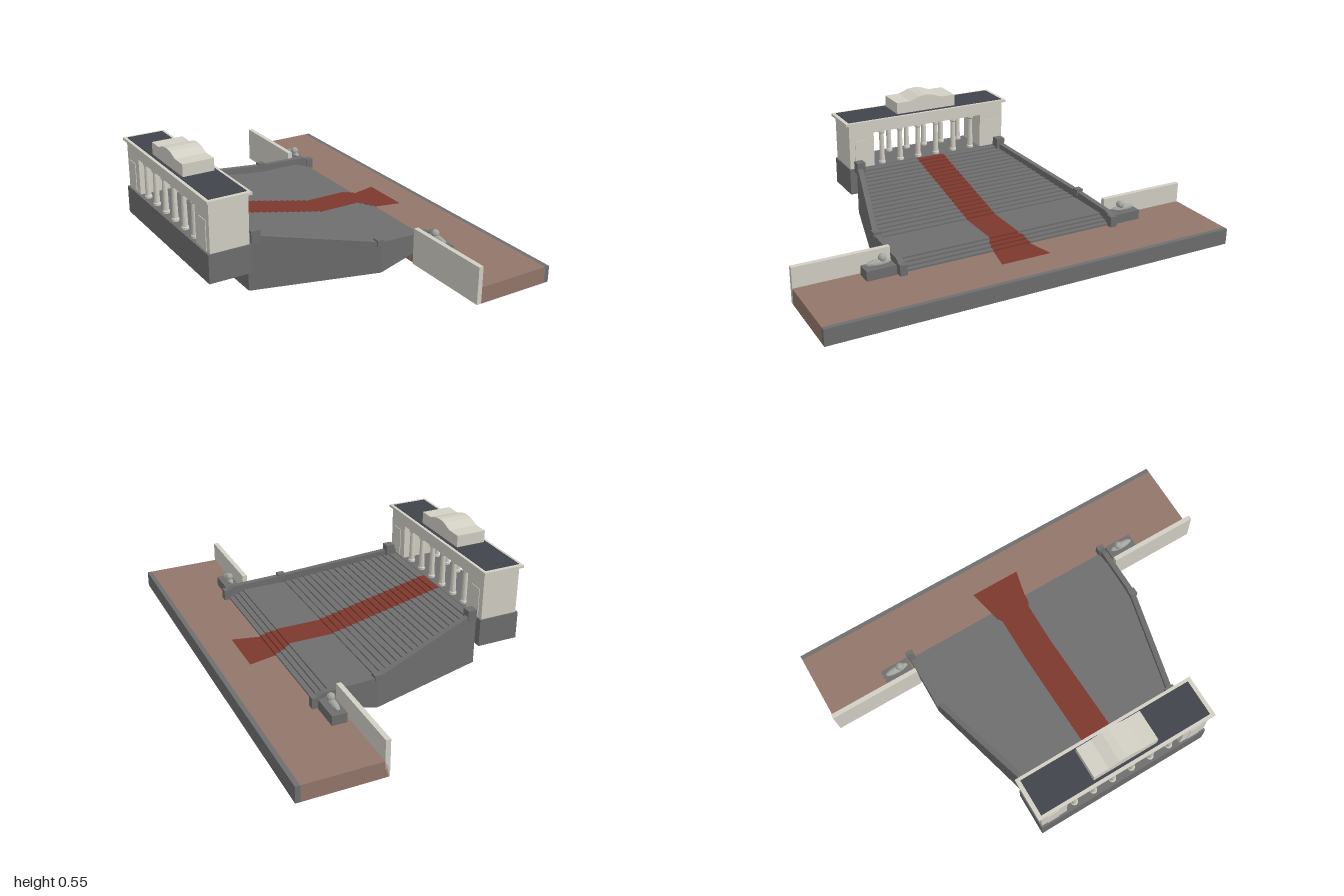
import * as THREE from 'three';

const mat = (color, side = THREE.FrontSide) => new THREE.MeshStandardMaterial({ color, side, flatShading: true });
const STONE = mat(0x6e6e6e), PALE = mat(0xd2cfc4), ROOF = mat(0x42444c), STATUE = mat(0xa2a69f);
const STEPS = mat(0x6e6e6e, THREE.DoubleSide), PAVING = mat(0x93766b, THREE.DoubleSide), CARPET = mat(0x7d382d, THREE.DoubleSide);

function add(parent, name, geometry, material, x = 0, y = 0, z = 0) {
  const mesh = new THREE.Mesh(geometry, material);
  mesh.name = name;
  mesh.position.set(x, y, z);
  parent.add(mesh);
  return mesh;
}

// Box given by its limits
function block(parent, name, material, [x0, x1], [y0, y1], [z0, z1]) {
  return add(parent, name, new THREE.BoxGeometry(x1 - x0, y1 - y0, z1 - z0), material,
    (x0 + x1) / 2, (y0 + y1) / 2, (z0 + z1) / 2);
}

// Surface joining consecutive cross-sections with the same number of points
function loft(sections) {
  const pos = [];
  for (let i = 0; i < sections.length - 1; i++) {
    for (let j = 0; j < sections[i].length - 1; j++) {
      const a = sections[i][j], b = sections[i][j + 1], c = sections[i + 1][j + 1], d = sections[i + 1][j];
      pos.push(...a, ...b, ...c, ...a, ...c, ...d);
    }
  }
  const g = new THREE.BufferGeometry();
  g.setAttribute('position', new THREE.Float32BufferAttribute(pos, 3));
  g.computeVertexNormals();
  return g;
}

// Piecewise linear lookup in a list of [x, value]
function lookup(table, x) {
  for (let i = 1; i < table.length; i++) {
    const [x0, v0] = table[i - 1], [x1, v1] = table[i];
    if (x <= x1) return v0 + (v1 - v0) * Math.max(0, (x - x0) / (x1 - x0));
  }
  return table[table.length - 1][1];
}

// Stepped profile: long upper flight, landing, short lower flight
function stairProfile() {
  const p = [[-0.515, 0.228]];
  const flight = (x0, x1, y0, y1, n) => {
    for (let i = 0; i < n; i++) {
      const x = x0 + (x1 - x0) * i / n;
      p.push([x, y0 + (y1 - y0) * i / n], [x, y0 + (y1 - y0) * (i + 1) / n]);
    }
  };
  flight(-0.48, 0.06, 0.228, 0.11, 18);
  flight(0.25, 0.345, 0.11, 0.077, 4);
  return p;
}

function promenade() {
  const g = new THREE.Group();
  g.name = 'promenade';
  const [x0, x1, h, w] = [0.225, 0.585, 0.075, 0.98];
  // Open-bottomed paved deck
  add(g, 'pavedDeck', loft([-w, w].map(z => [[x0, 0, z], [x0, h, z], [x1, h, z]])), PAVING);
  for (const z of [-w, w]) {
    add(g, 'deckEnd', loft([[[x0, 0, z], [x0, h, z]], [[x1, 0, z], [x1, h, z]]]), PAVING);
  }
  block(g, 'frontCurb', STONE, [x1, 0.606], [0, h], [-w, w]);
  for (const s of [-1, 1]) {
    const wall = block(g, 'backWall', PALE, [0.218, 0.24], [0, 0.17], [0.545, w]);
    wall.position.z *= s;
    // Pedestal with a reclining statue
    const ped = new THREE.Group();
    ped.name = 'statuePedestal';
    ped.position.set(0.29, 0.075, 0.62 * s);
    add(ped, 'plinth', new THREE.BoxGeometry(0.068, 0.045, 0.135), STONE, 0, 0.0225, 0);
    const body = add(ped, 'statueBody', new THREE.SphereGeometry(1, 12, 8), STATUE, 0, 0.058, 0);
    body.scale.set(0.018, 0.016, 0.058);
    add(ped, 'statueHead', new THREE.SphereGeometry(0.019, 10, 8), STATUE, 0, 0.077, -0.018 * s);
    g.add(ped);
  }
  return g;
}

function staircase() {
  const g = new THREE.Group();
  g.name = 'staircase';
  const width = [[-0.515, 0.39], [0.05, 0.543], [0.345, 0.543]];
  const profile = stairProfile();
  add(g, 'steps', loft(profile.map(([x, y]) => {
    const w = lookup(width, x) - 0.012;
    return [[x, y, -w], [x, y, w]];
  })), STEPS);
  add(g, 'backRetainingWall', loft([[[-0.515, 0, -0.39], [-0.515, 0, 0.39]],
    [[-0.515, 0.228, -0.39], [-0.515, 0.228, 0.39]]]), STEPS);

  // Red carpet widening onto the promenade
  const red = [[-0.515, 0.073], [0.26, 0.073], [0.275, 0.088], [0.345, 0.095], [0.45, 0.121]];
  const run = [...profile, [0.45, 0.077]];
  add(g, 'carpet', loft(run.map(([x, y]) => {
    const w = lookup(red, x);
    return [[x + 0.003, y + 0.003, -w], [x + 0.003, y + 0.003, w]];
  })), CARPET);

  // Side walls with parapets and posts
  const top = [[-0.515, 0.25], [-0.47, 0.247], [0.05, 0.145], [0.29, 0.138], [0.345, 0.118]];
  for (const s of [-1, 1]) {
    const sections = top.map(([x, y]) => {
      const w = lookup(width, x), base = x > 0.22 ? 0.07 : 0;
      return [[x, base, s * w], [x, y, s * w], [x, y, s * (w - 0.025)], [x, Math.max(base, 0), s * (w - 0.025)]];
    });
    add(g, 'sideWall', loft(sections), STEPS);
    const e = sections[sections.length - 1];
    add(g, 'sideWallEnd', loft([[e[0], e[1]], [e[3], e[2]]]), STEPS);
    for (const [x, y0, y1] of [[-0.485, 0.22, 0.275], [0.045, 0.13, 0.157], [0.33, 0.07, 0.125]]) {
      const size = x < 0 ? 0.042 : 0.034;
      add(g, 'parapetPost', new THREE.BoxGeometry(size, y1 - y0, size), STONE,
        x, (y0 + y1) / 2, s * (lookup(width, x) - 0.013));
    }
  }
  return g;
}

function building() {
  const g = new THREE.Group();
  g.name = 'colonnadeBuilding';
  block(g, 'base', STONE, [-0.71, -0.515], [0.1, 0.23], [-0.425, 0.425]);
  block(g, 'lintel', PALE, [-0.7, -0.522], [0.4, 0.452], [-0.42, 0.42]);
  const column = new THREE.LatheGeometry([[0, 0], [0.017, 0], [0.017, 0.01], [0.0135, 0.014], [0.011, 0.154],
    [0.016, 0.16], [0.016, 0.17], [0, 0.17]].map(p => new THREE.Vector2(...p)), 12);
  for (const s of [-1, 1]) {
    const pavilion = block(g, 'endPavilion', PALE, [-0.7, -0.522], [0.23, 0.4], [0.293, 0.42]);
    pavilion.position.z *= s;
    for (const x of [-0.7, -0.522]) {
      add(g, 'nichePanel', new THREE.BoxGeometry(0.006, 0.135, 0.06), PALE, x, 0.3, s * 0.362);
      for (const z of [0.049, 0.147, 0.245]) {
        add(g, 'column', column, PALE, x + (x < -0.6 ? 0.018 : -0.018), 0.23, s * z);
      }
    }
  }
  // Cornice, dark roof panel, attic and its shallow vaulted cap
  block(g, 'cornice', PALE, [-0.712, -0.512], [0.452, 0.464], [-0.437, 0.437]);
  block(g, 'roofPanel', ROOF, [-0.697, -0.527], [0.462, 0.467], [-0.418, 0.418]);
  block(g, 'attic', PALE, [-0.685, -0.541], [0.464, 0.523], [-0.157, 0.157]);
  const arc = new THREE.Shape([[-0.085, 0], [-0.035, 0.018], [0, 0.022], [0.035, 0.018], [0.085, 0]]
    .map(p => new THREE.Vector2(...p)));
  const cap = add(g, 'atticCap', new THREE.ExtrudeGeometry(arc, { depth: 0.144, bevelEnabled: false }), PALE, -0.685, 0.523, 0);
  cap.rotation.y = Math.PI / 2;
  return g;
}

export function createModel() {
  const model = new THREE.Group();
  model.name = 'colonnadeStairway';
  const site = new THREE.Group();
  site.name = 'site';
  site.rotation.y = -0.155;
  site.position.set(0.01, 0, -0.067);
  site.add(promenade(), staircase(), building());
  model.add(site);
  return model;
}
